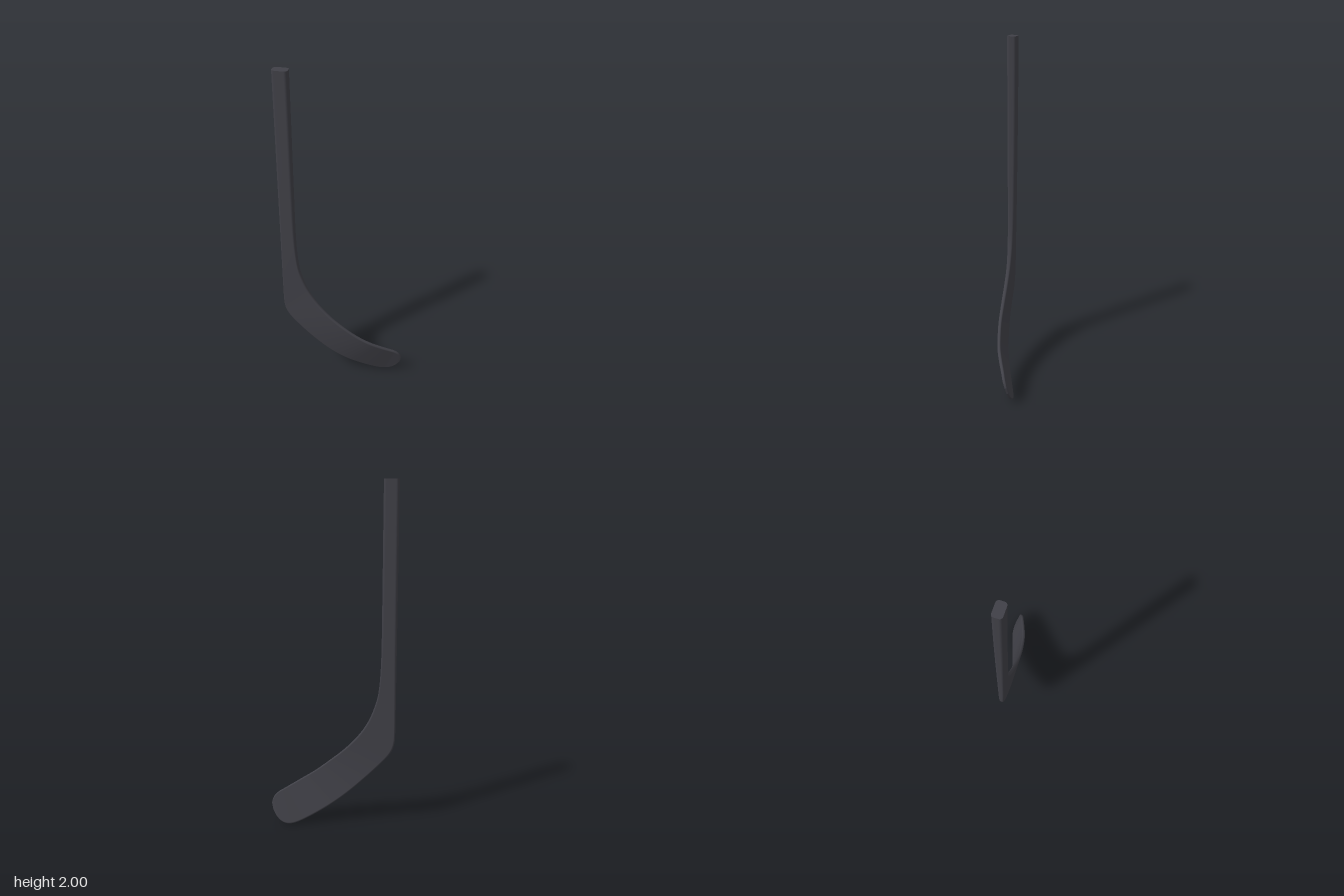
import * as THREE from 'three';

// Stations from butt end to toe: outer edge xyz, inner edge xyz, thickness, corner roundness
const stations = [
  [-0.36, 2.0, 0.053, -0.275, 2.0, 0.053, 0.055, 0.6],
  [-0.36, 1.65, 0.053, -0.275, 1.65, 0.053, 0.052, 0.6],
  [-0.36, 1.3, 0.054, -0.275, 1.3, 0.054, 0.048, 0.6],
  [-0.36, 0.95, 0.055, -0.273, 1.0, 0.055, 0.041, 0.65],
  [-0.36, 0.7, 0.056, -0.262, 0.82, 0.056, 0.034, 0.7],
  [-0.36, 0.57, 0.056, -0.24, 0.72, 0.055, 0.03, 0.75],
  [-0.355, 0.49, 0.056, -0.2, 0.62, 0.055, 0.026, 0.8],
  [-0.33, 0.43, 0.056, -0.14, 0.53, 0.057, 0.024, 0.85],
  [-0.27, 0.36, 0.055, -0.06, 0.445, 0.058, 0.022, 0.9],
  [-0.18, 0.27, 0.049, 0.03, 0.37, 0.054, 0.02, 0.9],
  [-0.08, 0.18, 0.034, 0.11, 0.31, 0.042, 0.02, 0.9],
  [0.02, 0.107, 0.009, 0.18, 0.267, 0.026, 0.02, 0.9],
  [0.12, 0.05, -0.026, 0.245, 0.23, 0.002, 0.02, 0.9],
  [0.2, 0.014, -0.055, 0.29, 0.205, -0.017, 0.019, 0.9],
  [0.25, 0.005, -0.07, 0.317, 0.19, -0.028, 0.018, 0.9],
  [0.29, 0.016, -0.074, 0.338, 0.172, -0.037, 0.017, 0.9],
  [0.323, 0.045, -0.07, 0.351, 0.15, -0.046, 0.015, 0.9],
  [0.346, 0.083, -0.062, 0.357, 0.125, -0.054, 0.011, 0.9],
];
const STEPS = 136;
const ARC = 6;

const curveOf = (pick) => new THREE.CatmullRomCurve3(
  stations.map((s) => new THREE.Vector3(...pick(s))), false, 'catmullrom', 0.5);

// Rounded-rectangle ring spanning the two edges at parameter t
function sectionRing(outer, inner, size, t) {
  const a = outer.getPoint(t);
  const b = inner.getPoint(t);
  const { x: thick, y: round } = size.getPoint(t);
  const u = b.clone().sub(a);
  const halfW = u.length() / 2;
  u.normalize();
  const tangent = outer.getTangent(t).add(inner.getTangent(t));
  const n = tangent.cross(u).normalize();
  const mid = a.add(b).multiplyScalar(0.5);
  const halfT = thick / 2;
  const r = Math.min(halfT, halfW) * round;
  const ring = [];
  [[1, 1], [-1, 1], [-1, -1], [1, -1]].forEach(([su, sn], q) => {
    for (let k = 0; k <= ARC; k++) {
      const ang = (q + k / ARC) * Math.PI / 2;
      ring.push(mid.clone()
        .addScaledVector(u, su * (halfW - r) + r * Math.cos(ang))
        .addScaledVector(n, sn * (halfT - r) + r * Math.sin(ang)));
    }
  });
  return ring;
}

function makeGeometry(points, index) {
  const geo = new THREE.BufferGeometry().setFromPoints(points);
  geo.setIndex(index);
  geo.computeVertexNormals();
  return geo;
}

// Flat fan closing one end
function capGeometry(ring, flip) {
  const centre = ring.reduce((c, p) => c.add(p), new THREE.Vector3()).divideScalar(ring.length);
  const index = [];
  ring.forEach((_, j) => {
    const k = (j + 1) % ring.length;
    index.push(ring.length, flip ? k : j, flip ? j : k);
  });
  return makeGeometry([...ring, centre], index);
}

export function createModel() {
  const group = new THREE.Group();
  group.name = 'hockeyStick';
  const material = new THREE.MeshStandardMaterial({ color: 0x404047 });
  const add = (name, geo) => {
    const mesh = new THREE.Mesh(geo, material);
    mesh.name = name;
    group.add(mesh);
  };

  const outer = curveOf((s) => s.slice(0, 3));
  const inner = curveOf((s) => s.slice(3, 6));
  const size = curveOf((s) => [s[6], s[7], 0]);
  const rings = [];
  for (let i = 0; i <= STEPS; i++) rings.push(sectionRing(outer, inner, size, i / STEPS));

  // One continuous skin for shaft, heel and curved blade
  const count = rings[0].length;
  const index = [];
  for (let i = 0; i < STEPS; i++) {
    for (let j = 0; j < count; j++) {
      const k = (j + 1) % count;
      const a = i * count + j;
      const b = i * count + k;
      index.push(a, b, a + count, b, b + count, a + count);
    }
  }
  add('shaftAndBlade', makeGeometry(rings.flat(), index));

  // Closed ends
  add('buttEnd', capGeometry(rings[0], true));
  add('toeEnd', capGeometry(rings[STEPS], false));
  return group;
}
